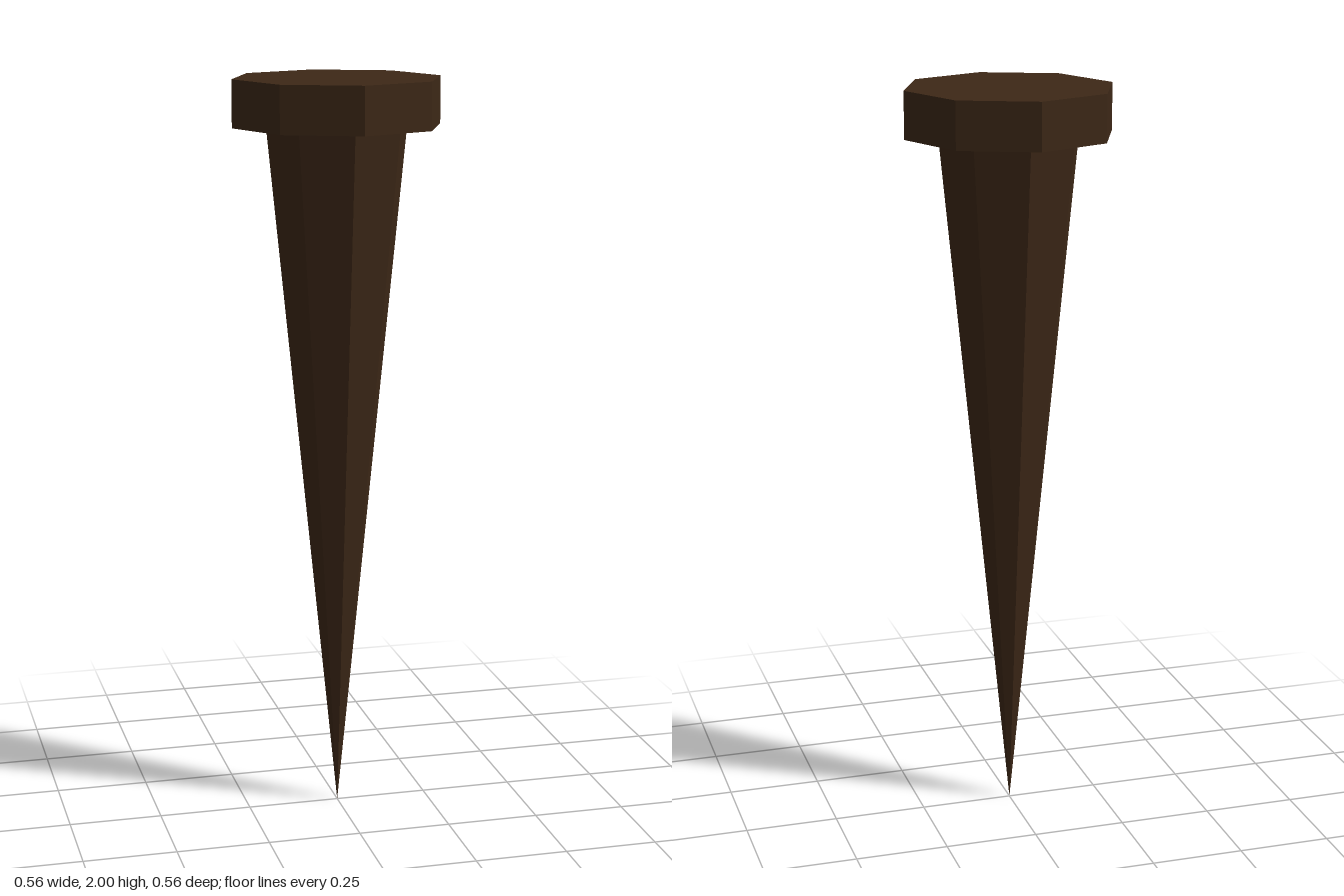
import * as THREE from 'three';

const SIDES = 8;
const HEIGHT = 2;
const HEAD_HEIGHT = 0.125;
const HEAD_RADIUS = 0.28;
const SHAFT_RADIUS = 0.19;

export function createModel() {
  const model = new THREE.Group();
  model.name = 'spike';
  const material = new THREE.MeshStandardMaterial({ color: 0x3d2817, flatShading: true });

  // Adds a named mesh centred at height y
  const add = (name, geometry, y) => {
    const mesh = new THREE.Mesh(geometry, material);
    mesh.name = name;
    mesh.position.y = y;
    model.add(mesh);
  };

  // Flat octagonal head
  add('head', new THREE.CylinderGeometry(HEAD_RADIUS, HEAD_RADIUS, HEAD_HEIGHT, SIDES), HEIGHT - HEAD_HEIGHT / 2);

  // Tapered shaft, point down, its wide end meeting the underside of the head
  const shaftHeight = HEIGHT - HEAD_HEIGHT;
  add('shaft', new THREE.CylinderGeometry(SHAFT_RADIUS, 0, shaftHeight, SIDES), shaftHeight / 2);

  return model;
}
